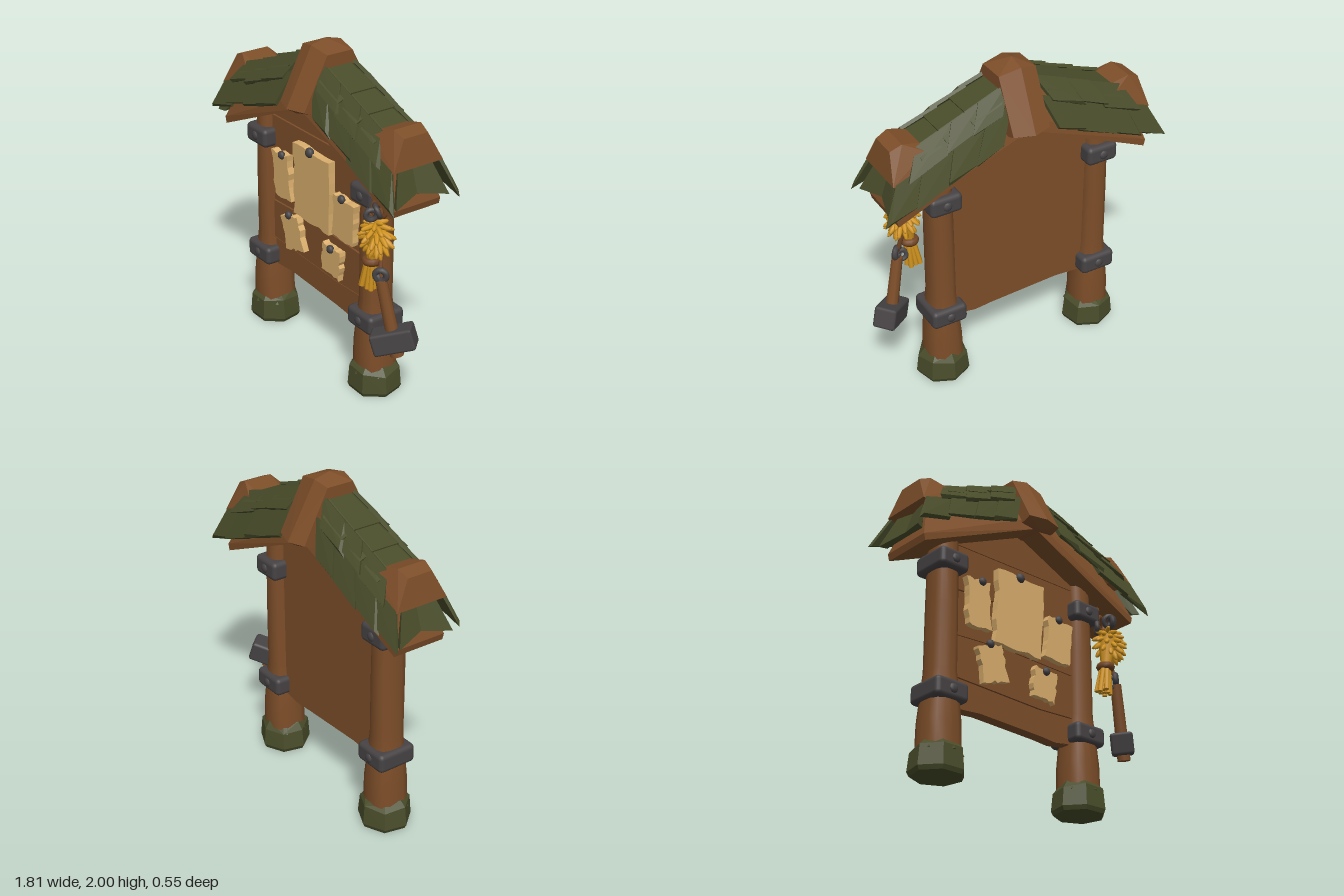
import * as THREE from 'three';
import { ConvexGeometry } from 'three/addons/geometries/ConvexGeometry.js';
import { RoundedBoxGeometry } from 'three/addons/geometries/RoundedBoxGeometry.js';

const V = (x, y, z) => new THREE.Vector3(x, y, z);
const material = (name, color) => Object.assign(new THREE.MeshStandardMaterial({ color }), { name });

export function createModel() {
  const wood = material('wood', 0x7d4e29);
  const moss = material('moss green', 0x494d2a);
  const iron = material('iron', 0x474345);
  const parchment = material('parchment', 0xdcb06e);
  const straw = material('straw', 0xd4961f);
  const rope = material('rope', 0x754725);

  let seed = 7;
  const jitter = (a) => {
    seed = (seed * 16807) % 2147483647;
    return (seed / 2147483647 - 0.5) * 2 * a;
  };
  const root = new THREE.Group();
  root.name = 'noticeBoard';
  const group = (name, parent = root) => {
    const g = new THREE.Group();
    g.name = name;
    parent.add(g);
    return g;
  };
  const add = (parent, name, geometry, mat, x = 0, y = 0, z = 0) => {
    const mesh = new THREE.Mesh(geometry, mat);
    mesh.name = name;
    mesh.position.set(x, y, z);
    parent.add(mesh);
    return mesh;
  };
  const hull = (parent, name, points, mat) => add(parent, name, new ConvexGeometry(points), mat);
  const plate = (parent, name, points, depth, mat, z) => {
    const shape = new THREE.Shape(points.map(([x, y]) => new THREE.Vector2(x, y)));
    return add(parent, name, new THREE.ExtrudeGeometry(shape, { depth, bevelEnabled: false }), mat, 0, 0, z);
  };
  const rod = (parent, name, a, b, r0, r1, mat, sides = 7) => {
    const d = b.clone().sub(a);
    const m = add(parent, name, new THREE.CylinderGeometry(r1, r0, d.length(), sides), mat);
    m.position.copy(a).addScaledVector(d, 0.5);
    m.quaternion.setFromUnitVectors(V(0, 1, 0), d.normalize());
    return m;
  };

  // Squarish posts with mossy feet, iron straps and bolts
  const profile = [[0.112, 0.08], [0.106, 0.3], [0.092, 0.45], [0.078, 0.6], [0.074, 1], [0.07, 1.46]];
  for (const [name, px] of [['rightPost', -0.548], ['leftPost', 0.48]]) {
    const g = group(name);
    g.position.x = px;
    const post = new THREE.LatheGeometry(profile.map(([r, y]) => new THREE.Vector2(r, y)), 16);
    const p = post.attributes.position;
    for (let i = 0; i < p.count; i++) {
      const x = p.getX(i), z = p.getZ(i);
      const k = 1 + 0.13 * Math.sin(2 * Math.atan2(z, x)) ** 2;
      p.setXYZ(i, x * k, p.getY(i), z * k * (1 + 0.25 * Math.min(1, p.getY(i))));
    }
    post.computeVertexNormals();
    add(g, 'post', post, wood);

    const foot = [];
    for (let i = 0; i < 7; i++) {
      const a = ((i + 0.25) / 7) * Math.PI * 2, c = Math.cos(a), s = Math.sin(a);
      const k = 1 + jitter(0.03);
      foot.push(V(c * 0.15 * k, 0, s * 0.145 * k), V(c * 0.163 * k, 0.025, s * 0.156 * k));
      foot.push(V(c * 0.15 * k, 0.14 + jitter(0.015), s * 0.147 * k));
      foot.push(V(c * 0.115, 0.175 + jitter(0.012), s * 0.115));
    }
    hull(g, 'mossyFoot', foot, moss);
    for (let i = 0; i < 6; i++) {
      const a = (i / 6) * Math.PI * 2 + 0.5;
      const tuft = add(g, 'mossTuft', new THREE.ConeGeometry(0.06, 0.09, 4), moss,
        Math.cos(a) * 0.085, 0.17, Math.sin(a) * 0.085);
      tuft.rotation.y = -a;
    }
    for (const [y, w] of [[0.47, 0.225], [1.255, 0.2]]) {
      add(g, 'ironStrap', new RoundedBoxGeometry(w, 0.118, 0.25, 2, 0.028), iron, 0, y, 0);
      for (const s of [1, -1]) {
        const bolt = add(g, 'bolt', new THREE.SphereGeometry(0.029, 10, 6), iron, 0, y, s * 0.122);
        bolt.scale.z = 0.55;
      }
    }
  }

  // Backing panel and front planks
  const board = group('board');
  plate(board, 'backing', [[-0.53, 0.397], [-0.29, 0.415], [0.16, 0.395], [0.27, 0.385], [0.44, 0.41],
    [0.44, 1.46], [0, 1.68], [-0.53, 1.44]], 0.065, wood, -0.035);
  const planks = [
    [[-0.52, 0.397], [-0.29, 0.415], [0.16, 0.395], [0.27, 0.385], [0.43, 0.41], [0.43, 0.56], [0.15, 0.55], [-0.52, 0.58]],
    [[-0.52, 0.588], [0.15, 0.558], [0.43, 0.568], [0.43, 0.83], [-0.1, 0.85], [-0.52, 0.83]],
    [[-0.52, 0.838], [-0.1, 0.858], [0.43, 0.838], [0.43, 1.13], [-0.52, 1.11]],
    [[-0.52, 1.118], [0.43, 1.138], [0.43, 1.395], [-0.52, 1.395]],
    [[-0.52, 1.403], [0.43, 1.403], [0.43, 1.46], [0, 1.67], [-0.52, 1.43]],
  ];
  planks.forEach((pts, i) => plate(board, 'plank', pts, 0.012 + (i % 2) * 0.005, wood, 0.026));

  // Pinned notices: centre, size, turn, pin position
  const notices = [
    [-0.035, 1.09, 0.345, 0.46, -0.03, -0.04, 1.315], [-0.34, 1.06, 0.165, 0.285, 0.06, -0.325, 1.197],
    [0.27, 1.01, 0.19, 0.265, -0.09, 0.265, 1.14], [-0.235, 0.72, 0.18, 0.215, 0.25, -0.262, 0.828],
    [0.155, 0.7, 0.165, 0.185, -0.07, 0.16, 0.78],
  ];
  for (const [x, y, w, h, turn, pinX, pinY] of notices) {
    const pts = [], corners = [[-1, -1], [1, -1], [1, 1], [-1, 1]];
    corners.forEach(([cx, cy], i) => {
      const [nx, ny] = corners[(i + 1) % 4];
      for (let k = 0; k < 7; k++) {
        const t = k / 7;
        pts.push([(cx + (nx - cx) * t) * w / 2 + jitter(0.009), (cy + (ny - cy) * t) * h / 2 + jitter(0.009)]);
      }
    });
    const sheet = plate(board, 'notice', pts, 0.046, parchment, 0.036);
    sheet.position.set(x, y, 0.036);
    sheet.rotation.set(0.03, 0, turn);
    const pin = add(board, 'pin', new THREE.SphereGeometry(w > 0.3 ? 0.031 : 0.026, 12, 8), iron, pinX, pinY, 0.086);
    pin.scale.z = 0.8;
  }

  // Roof: u runs outward along the ridge, v from ridge to eave, h is lift off the rounded surface
  const roof = group('roof');
  const at = (s, f, u, v, h) => V(s * (u + 0.15 * v + 0.19 * h), 1.925 - 0.4 * u - 0.31 * v ** 1.25 + 0.6 * h,
    f * (0.07 + 0.135 * v ** 0.75 + 0.7 * h));
  const rows = [
    [0.46, 1, [0.05, 0.18, 0.36, 0.55, 0.73]],
    [0.02, 0.56, [0.1, 0.26, 0.44, 0.63]],
  ];
  for (const s of [1, -1]) {
    hull(roof, 'roofCore', [1, -1].flatMap((f) => [
      V(0, 1.62, f * 0.18), V(0, 1.7, f * 0.165), V(0, 1.88, f * 0.05), V(s * 0.71, 1.59, f * 0.05),
      V(s * 0.81, 1.3, f * 0.165), V(s * 0.8, 1.26, f * 0.165),
    ]), wood);
    for (const f of [1, -1]) {
      rows.forEach(([v0, v1, cuts], r) => {
        for (let i = 0; i < cuts.length - 1; i++) {
          const u0 = cuts[i] - 0.03, u1 = cuts[i + 1] + (i < 3 ? jitter(0.02) : 0);
          const end = v1 + jitter(0.05), base = r * 0.012;
          const pts = [];
          for (const t of [0, 0.022]) {
            pts.push(at(s, f, u0, v0, base + t - 0.005), at(s, f, u1, v0, base + t + 0.008));
            pts.push(at(s, f, u0, end, base + t), at(s, f, u1 + jitter(0.02), end + jitter(0.04), base + t + 0.018));
          }
          hull(roof, 'sideShingle', pts, moss);
        }
      });
    }
    [[0.09, 0.34], [0.3, 0.5], [0.46, 0.65]].forEach(([u0, u1]) => hull(roof, 'ridgeShingle',
      [1, -1].flatMap((f) => [at(s, f, u0, 0, 0.004), at(s, f, u1, 0, 0.02),
        at(s, f, u0, 0.36, 0.03), at(s, f, u1 - 0.07, 0.36, 0.044)]), moss));
    // Shingles folded over the open end, notched in the middle
    for (const f of [1, -1]) {
      hull(roof, 'endShingle', [V(s * 0.73, 1.62, 0), V(s * 0.75, 1.61, f * 0.08), V(s * 0.815, 1.37, 0),
        V(s * 0.865, 1.335, f * 0.18), V(s * 0.69, 1.58, 0), V(s * 0.79, 1.36, 0), V(s * 0.82, 1.33, f * 0.16)], moss);
    }
    hull(roof, 'endCap', [1, -1].flatMap((f) => [
      V(s * 0.61, 1.69, f * 0.08), V(s * 0.72, 1.72, f * 0.09), V(s * 0.79, 1.69, f * 0.08),
      V(s * 0.605, 1.665, f * 0.135), V(s * 0.665, 1.51, f * 0.18), V(s * 0.725, 1.49, f * 0.19),
      V(s * 0.82, 1.525, f * 0.165),
    ]), wood);
  }
  hull(roof, 'centreCap', [V(0, 2, 0), ...[1, -1].flatMap((f) => [
    V(0, 1.975, f * 0.1), V(-0.1, 1.955, f * 0.085), V(0.13, 1.95, f * 0.085),
    V(-0.1, 1.65, f * 0.24), V(0.01, 1.645, f * 0.275), V(0.13, 1.65, f * 0.24),
    V(-0.1, 1.63, f * 0.19), V(0.01, 1.605, f * 0.21), V(0.13, 1.63, f * 0.19),
  ])], wood);

  // Hanging loops and links
  const hanging = group('hangings');
  const ring = (name, x, y, z, r, t, mat, rx, ry) => {
    add(hanging, name, new THREE.TorusGeometry(r, t, 7, 14), mat, x, y, z).rotation.set(rx, ry, 0);
  };
  ring('ropeLoop', 0.59, 1.275, 0.07, 0.04, 0.016, rope, 0.3, 0.9);
  ring('ropeLoop', 0.61, 1.22, 0.09, 0.045, 0.015, rope, 0, 0.3);
  ring('link', 0.645, 1.235, 0.13, 0.034, 0.015, iron, 0.4, -0.4);
  ring('link', 0.565, 1.18, 0.1, 0.032, 0.015, iron, 0, 0.9);
  ring('link', 0.63, 1.215, 0.16, 0.03, 0.015, iron, 0, 1.1);
  ring('link', 0.685, 0.86, 0.13, 0.032, 0.018, iron, 0, 0.7);
  ring('link', 0.655, 0.835, 0.13, 0.028, 0.015, iron, 0.3, -0.3);
  const cord = new THREE.CatmullRomCurve3([V(0.57, 1.25, 0.09), V(0.62, 1.1, 0.09), V(0.66, 0.97, 0.11), V(0.68, 0.87, 0.13)]);
  add(hanging, 'cord', new THREE.TubeGeometry(cord, 12, 0.013, 6), rope);

  // Wheat sheaf: drooping ears, tie and stems
  const sheaf = group('wheatSheaf', hanging);
  rod(sheaf, 'sheafCore', V(0.6, 0.9, 0.13), V(0.63, 1.12, 0.13), 0.025, 0.06, straw, 8);
  const ear = new THREE.SphereGeometry(1, 6, 5);
  for (let i = 0; i < 44; i++) {
    const cy = 1 - (2 * (i + 0.5)) / 44, a = i * 2.4, q = Math.sqrt(1 - cy * cy);
    const d = V(q * Math.cos(a), cy, q * Math.sin(a));
    const m = add(sheaf, 'ear', ear, straw, 0.643 + d.x * 0.068 - d.y * 0.012, 1.08 + d.y * 0.085, 0.128 + d.z * 0.062);
    m.scale.set(0.016, 0.05, 0.016);
    m.quaternion.setFromUnitVectors(V(0, 1, 0), V(d.x + 0.1, d.y * 0.7 - 0.6, d.z).normalize());
  }
  add(sheaf, 'tie', new THREE.TorusGeometry(0.034, 0.023, 7, 14), rope, 0.602, 0.92, 0.13).rotation.x = Math.PI / 2;
  for (let i = 0; i < 10; i++) {
    const a = i * 2.4, r = 0.048 * Math.sqrt((i + 0.5) / 10);
    rod(sheaf, 'stem', V(0.6 + Math.cos(a) * r * 0.5, 0.93, 0.13 + Math.sin(a) * r * 0.5),
      V(0.577 + Math.cos(a) * r, 0.75 + jitter(0.02), 0.13 + Math.sin(a) * r), 0.014, 0.015, straw);
  }

  // Hammer hanging from its ring
  const hammer = group('hammer', hanging);
  hammer.position.set(0.68, 0.86, 0.13);
  hammer.quaternion.setFromUnitVectors(V(0, 1, 0), V(-0.21, 0.97, 0.1).normalize());
  rod(hammer, 'handle', V(0, -0.49, 0), V(0, -0.03, 0), 0.04, 0.033, wood, 9);
  const head = add(hammer, 'head', new RoundedBoxGeometry(0.245, 0.13, 0.135, 1, 0.016), iron, 0, -0.39, 0);
  head.rotation.set(0, 0.75, 0.08);
  return root;
}
